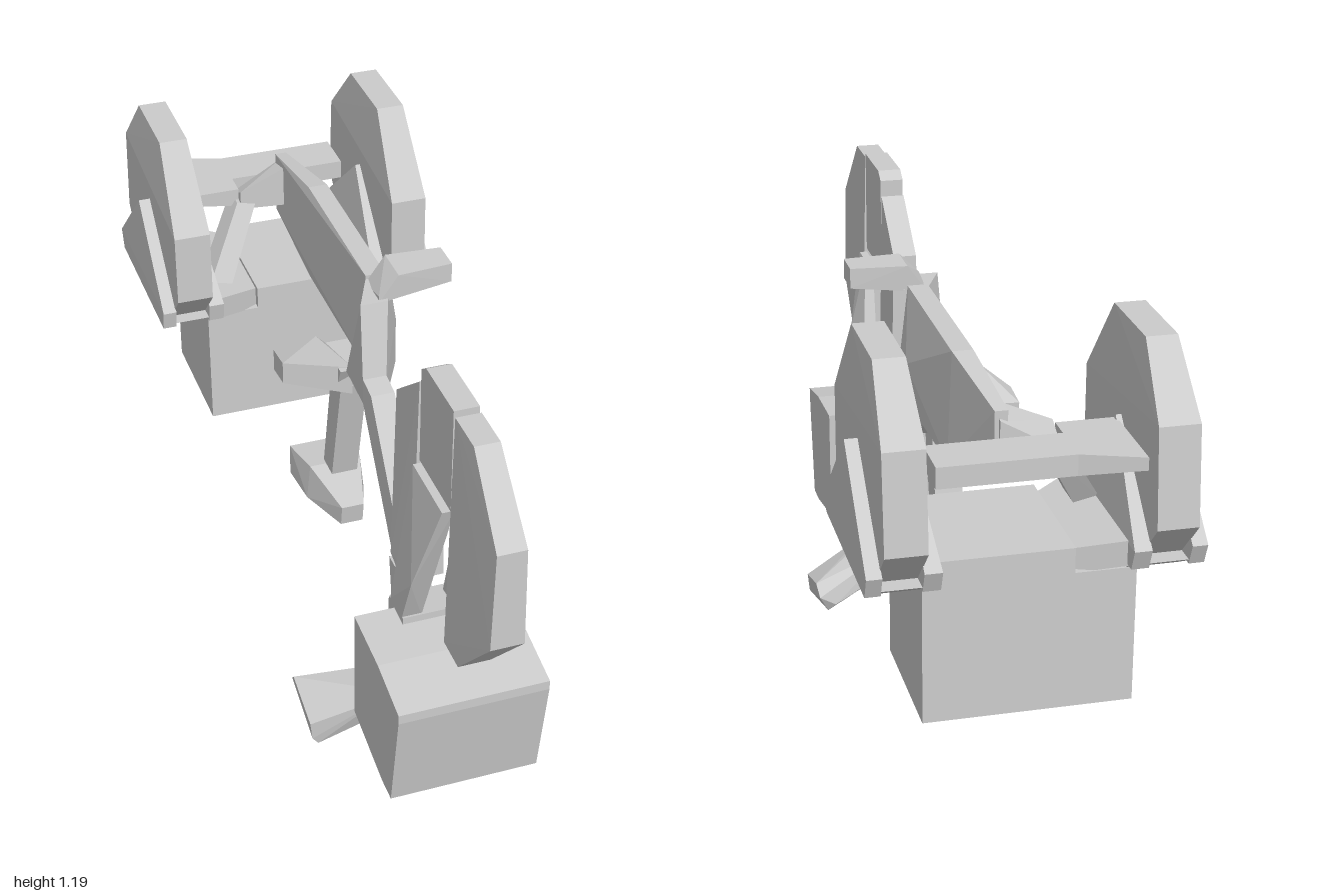
import * as THREE from 'three';
import { ConvexGeometry } from 'three/addons/geometries/ConvexGeometry.js';

const material = new THREE.MeshStandardMaterial({ color: 0xcccccc, flatShading: true });

// Faceted solid spanning a handful of corner points [x, y, z]
function hull(name, points) {
  const geometry = new ConvexGeometry(points.map(p => new THREE.Vector3(...p)));
  const mesh = new THREE.Mesh(geometry, material);
  mesh.name = name;
  return mesh;
}

// Side profile of [z, y, halfWidth?] given thickness about x = cx
function slab(name, cx, half, profile) {
  return hull(name, profile.flatMap(([z, y, w = half]) => [[cx - w, y, z], [cx + w, y, z]]));
}

function box(name, x0, x1, y0, y1, z0, z1) {
  const mesh = new THREE.Mesh(new THREE.BoxGeometry(x1 - x0, y1 - y0, z1 - z0), material);
  mesh.position.set((x0 + x1) / 2, (y0 + y1) / 2, (z0 + z1) / 2);
  mesh.name = name;
  return mesh;
}

function group(name, ...parts) {
  const g = new THREE.Group();
  g.name = name;
  g.add(...parts);
  return g;
}

// Front wheel in three segments
function frontWheel() {
  return group('frontWheel',
    slab('frontWheelLead', 0, 0.04, [[1, 1, 0.035], [0.84, 1.17, 0.03], [0.73, 1.17, 0.03], [0.73, 0.54], [0.82, 0.54], [1, 0.74]]),
    slab('frontWheelTop', 0, 0.03, [[0.72, 1.18], [0.55, 1.18], [0.52, 1.16], [0.52, 0.91], [0.72, 0.91]]),
    slab('frontWheelTrail', 0, 0.04, [[0.51, 1.12, 0.03], [0.36, 1, 0.03], [0.36, 0.52], [0.42, 0.5], [0.51, 0.55]]));
}

// Fork blades either side of the front wheel, with the crown under them
function fork() {
  return group('fork',
    hull('leftForkBlade', [
      [0.03, 0.9, 0.72], [0.05, 0.9, 0.72], [0.03, 0.9, 0.64], [0.05, 0.9, 0.64],
      [0.04, 0.5, 0.58], [0.09, 0.5, 0.58], [0.04, 0.5, 0.51], [0.09, 0.5, 0.51], [0.09, 0.7, 0.66]]),
    hull('rightForkBlade', [
      [-0.05, 0.91, 0.72], [-0.02, 0.91, 0.72], [-0.05, 0.91, 0.53], [-0.02, 0.91, 0.53],
      [-0.09, 0.5, 0.58], [-0.04, 0.5, 0.58], [-0.09, 0.5, 0.5], [-0.04, 0.5, 0.5], [-0.09, 0.65, 0.64]]),
    slab('forkCrown', 0, 0.09, [[0.59, 0.51], [0.49, 0.5], [0.49, 0.3], [0.54, 0.19], [0.59, 0.3]]));
}

// Front basket, leaning a little forward
function frontBasket() {
  const cx = -0.005;
  return group('frontBasket',
    slab('frontBasketBody', cx, 0.185, [[0.845, 0.43], [0.53, 0.43], [0.53, 0.19], [0.74, 0.15], [0.8, 0.15]]),
    slab('frontBasketRim', cx, 0.185, [[0.845, 0.455], [0.7, 0.485], [0.53, 0.495], [0.53, 0.43], [0.845, 0.43]]));
}

// Head tube, steering stem and spread handlebar
function steering() {
  const bars = [-1, 1].map(s => hull(s > 0 ? 'leftHandlebar' : 'rightHandlebar', [
    [0, 0.11, 0.37], [0, 0.15, 0.46], [0, 0.12, 0.46], [s * 0.1, 0.15, 0.47], [s * 0.12, 0.15, 0.42],
    [s * 0.04, 0.16, 0.36], [s * 0.27, 0.11, 0.28], [s * 0.265, 0.08, 0.25], [s * 0.22, 0.05, 0.26],
    [s * 0.27, 0.07, 0.42], [s * 0.265, 0.02, 0.42], [s * 0.25, 0, 0.42], [s * 0.22, 0, 0.4],
    [s * 0.24, 0.03, 0.27]]));
  return group('steering',
    slab('headTube', 0, 0.03, [[0.36, 0.62], [0.34, 0.51], [0.12, 0.8], [0.12, 0.87], [0.18, 0.86]]),
    slab('stem', 0, 0.04, [[0.42, 0.5], [0.35, 0.5], [0.41, 0.15], [0.48, 0.15], [0.49, 0.3]]),
    ...bars);
}

// Long flat frame plate
function frame() {
  return group('frame',
    hull('frameNose', [
      [-0.03, 0.8, 0.12], [0.03, 0.8, 0.12], [-0.03, 0.85, 0.12], [0.03, 0.85, 0.12],
      [-0.02, 1.05, 0.07], [0.05, 1.05, 0.07], [0.03, 1.05, -0.04], [0.09, 1.05, -0.04],
      [-0.02, 0.79, -0.04], [0.11, 0.79, -0.04], [0.11, 0.92, -0.04]]),
    hull('framePlate', [
      [0.03, 1.06, -0.04], [0.08, 1.06, -0.04], [0.03, 0.79, -0.04], [0.11, 0.8, -0.04], [0.11, 0.9, -0.15],
      [0.03, 1.06, -0.5], [0.08, 1.06, -0.5], [0.03, 0.79, -0.5], [0.09, 0.79, -0.5],
      [0.02, 1.02, -0.77], [0.05, 1.02, -0.77], [0.02, 0.85, -0.77], [0.05, 0.85, -0.77]]));
}

function pedals() {
  return group('pedals',
    hull('leftPedal', [
      [0.03, 1.04, 0.06], [0.03, 1.04, -0.04], [0.03, 1.06, 0.06], [0.08, 1.11, 0.06], [0.08, 1.11, -0.04],
      [0.22, 1.11, 0.05], [0.22, 1.11, -0.03], [0.22, 1.06, 0.05], [0.22, 1.06, -0.03]]),
    hull('rightPedal', [
      [-0.165, 0.73, -0.19], [-0.165, 0.79, -0.19], [-0.165, 0.74, -0.11], [-0.165, 0.8, -0.11],
      [-0.03, 0.71, -0.18], [-0.03, 0.79, -0.18], [0, 0.71, -0.05], [0, 0.79, -0.05],
      [-0.08, 0.87, -0.1]]),
    slab('crankHub', 0.02, 0.055, [[-0.04, 0.79], [-0.18, 0.79], [-0.18, 0.75], [-0.14, 0.71], [-0.08, 0.71]]));
}

function seat() {
  return group('seat',
    slab('seatPost', 0.01, 0.035, [[-0.07, 0.72], [-0.15, 0.71], [-0.22, 0.39], [-0.15, 0.39]]),
    slab('seatPad', 0, 0.09, [[-0.05, 0.35, 0.03], [-0.06, 0.29, 0.03], [-0.2, 0.39, 0.07],
      [-0.32, 0.38], [-0.32, 0.29], [-0.2, 0.29, 0.08]]));
}

// Rear wheel with a triangular guard on each face; s = side
function rearWheel(s) {
  const side = s > 0 ? 'left' : 'right';
  const guard = [[0.97, -0.73], [0.75, -0.5], [0.7, -0.51], [0.7, -0.95], [0.75, -0.97]];
  return group(side + 'RearWheel',
    slab(side + 'RearTyre', s * 0.295, 0.047, [[-0.465, 0.99], [-0.62, 1.19, 0.036], [-0.84, 1.19, 0.036],
      [-0.98, 1.04], [-1, 0.81], [-0.86, 0.665], [-0.59, 0.665], [-0.465, 0.8]]),
    hull(side + 'OuterGuard', guard.flatMap(([y, z]) => [[s * 0.34, y, z], [s * (y > 0.9 ? 0.372 : 0.375), y, z]])),
    hull(side + 'InnerGuard', guard.flatMap(([y, z]) => [[s * 0.25, y, z], [s * (y > 0.9 ? 0.235 : 0.21), y, z]])),
    hull(side + 'GuardFoot', [0.21, 0.375].flatMap(x => [[s * x, 0.71, -0.51], [s * x, 0.71, -0.95],
      [s * (x > 0.3 ? 0.34 : 0.22), 0.67, -0.58], [s * (x > 0.3 ? 0.34 : 0.22), 0.67, -0.88]])));
}

// Axle and the struts that tie it to the frame
function rearAxle() {
  return group('rearAxle',
    box('axleBar', -0.1, 0.21, 0.91, 0.96, -0.9, -0.78),
    hull('axleFlare', [
      [-0.24, 0.96, -0.95], [-0.24, 0.93, -0.95], [-0.24, 0.96, -0.72], [-0.24, 0.93, -0.72],
      [-0.1, 0.96, -0.9], [-0.1, 0.91, -0.9], [-0.1, 0.96, -0.72], [-0.1, 0.91, -0.72]]),
    hull('frameBracket', [
      [-0.1, 0.96, -0.7], [-0.1, 0.91, -0.7], [-0.1, 0.92, -0.78], [0.04, 1.02, -0.7],
      [0.04, 0.9, -0.7], [0.04, 1.0, -0.78], [0.04, 0.9, -0.78]]),
    hull('diagonalStrut', [
      [-0.11, 0.93, -0.7], [-0.06, 0.92, -0.7], [-0.11, 0.93, -0.77], [-0.06, 0.92, -0.77],
      [-0.22, 0.75, -0.6], [-0.16, 0.74, -0.6], [-0.22, 0.75, -0.68], [-0.16, 0.74, -0.68]]),
    hull('lowerFlare', [
      [-0.23, 0.76, -0.51], [-0.23, 0.7, -0.51], [-0.23, 0.76, -0.93], [-0.23, 0.7, -0.93],
      [-0.1, 0.73, -0.58], [-0.1, 0.67, -0.58], [-0.1, 0.73, -0.88], [-0.1, 0.67, -0.88]]));
}

// Rear basket, open underneath
function rearBasket() {
  const t = 0.01, X = 0.24, y0 = 0.35, y1 = 0.67, z0 = -0.9, z1 = -0.56;
  return group('rearBasket',
    box('basketFront', -X, X, y0, y1, z1 - t, z1),
    box('basketBack', -X, X, y0, y1, z0, z0 + t),
    box('basketLeft', X - t, X, y0, y1, z0 + t, z1 - t),
    box('basketRight', -X, -X + t, y0, y1, z0 + t, z1 - t),
    box('basketFloor', -X, X, y1, y1 + t, z0, z1),
    box('basketMount', -0.1, 0.21, y1 + t, 0.74, z0, z1));
}

export function createModel() {
  return group('cargoTricycle', frontWheel(), fork(), frontBasket(), steering(), frame(),
    pedals(), seat(), rearWheel(1), rearWheel(-1), rearAxle(), rearBasket());
}
